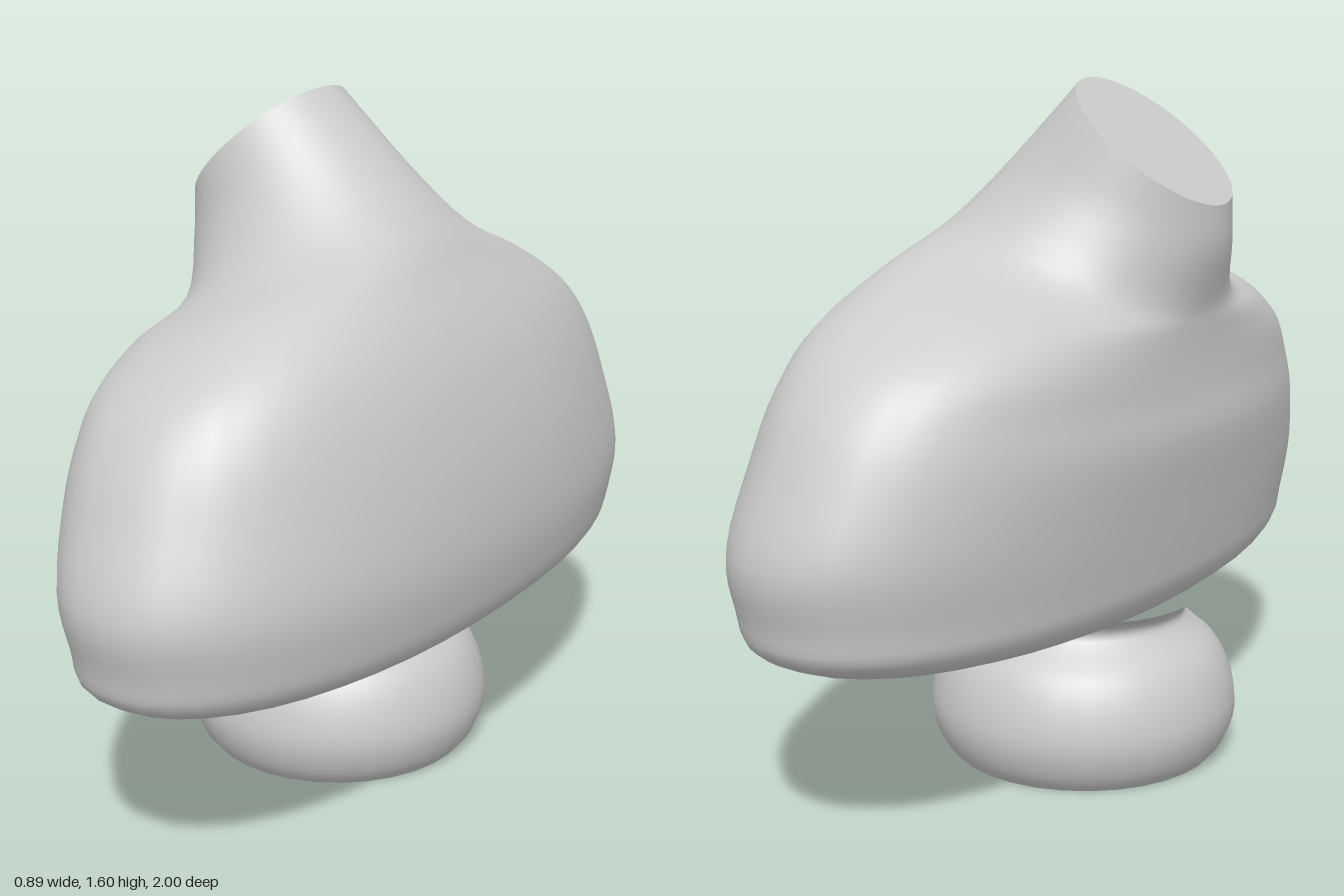
import * as THREE from 'three';

const SIDES = 48;
const STEPS = 48;

// Torso rings, neck to underside: back x, back y, front x, front y, half width in z, roundness
const RINGS = [
  [-0.42, 1.32, -0.09, 1.60, 0.21, 2.0],
  [-0.42, 1.22, 0.08, 1.43, 0.265, 2.0],
  [-0.39, 1.10, 0.20, 1.30, 0.38, 2.1],
  [-0.385, 1.05, 0.26, 1.21, 0.60, 2.3],
  [-0.385, 0.98, 0.33, 1.10, 0.77, 2.4],
  [-0.39, 0.90, 0.385, 0.98, 0.87, 2.3],
  [-0.40, 0.80, 0.43, 0.82, 0.94, 2.2],
  [-0.38, 0.65, 0.45, 0.65, 1.00, 2.2],
  [-0.36, 0.52, 0.44, 0.53, 0.98, 2.2],
  [-0.345, 0.45, 0.41, 0.44, 0.95, 2.2],
  [-0.31, 0.40, 0.33, 0.395, 0.80, 2.2],
  [-0.25, 0.375, 0.20, 0.375, 0.40, 2.0],
  [-0.06, 0.37, -0.05, 0.37, 0.01, 2.0],
];

// Smooth curve through three columns of the ring table
function columns(from) {
  const points = RINGS.map((r) => new THREE.Vector3(r[from], r[from + 1], r[from + 2]));
  return new THREE.CatmullRomCurve3(points, false, 'catmullrom', 0.5);
}

// One tilted, rounded outline of the torso
function ring(t, first, second) {
  const a = first.getPoint(t);
  const b = second.getPoint(t);
  const [xb, yb, xf, yf, hz, power] = [a.x, a.y, a.z, b.x, b.y, b.z];
  const bend = (v) => Math.sign(v) * Math.pow(Math.abs(v), 2 / power);
  const points = [];
  for (let j = 0; j < SIDES; j++) {
    const angle = (j / SIDES) * Math.PI * 2;
    const k = (bend(Math.cos(angle)) + 1) / 2;
    points.push(xb + (xf - xb) * k, yb + (yf - yb) * k, hz * bend(Math.sin(angle)));
  }
  return points;
}

function buildGeometry(positions, indices) {
  const geometry = new THREE.BufferGeometry();
  geometry.setAttribute('position', new THREE.Float32BufferAttribute(positions, 3));
  geometry.setIndex(indices);
  geometry.computeVertexNormals();
  return geometry;
}

export function createModel() {
  const group = new THREE.Group();
  group.name = 'bust';
  const material = new THREE.MeshStandardMaterial({ color: 0xcccccc });
  const add = (name, geometry) => {
    const mesh = new THREE.Mesh(geometry, material);
    mesh.name = name;
    group.add(mesh);
    return mesh;
  };

  // Torso: chest, shoulders and neck in one skin
  const first = columns(0);
  const second = columns(3);
  const positions = [];
  const indices = [];
  for (let i = 0; i <= STEPS; i++) {
    positions.push(...ring(i / STEPS, first, second));
    if (i === STEPS) break;
    for (let j = 0; j < SIDES; j++) {
      const a = i * SIDES + j;
      const b = i * SIDES + ((j + 1) % SIDES);
      indices.push(a, b, a + SIDES, b, b + SIDES, a + SIDES);
    }
  }
  add('torso', buildGeometry(positions, indices));

  // Flat slanted cut closing the neck
  const cap = [-0.255, 1.46, 0, ...ring(0, first, second)];
  const fan = [];
  for (let j = 0; j < SIDES; j++) fan.push(0, 1 + ((j + 1) % SIDES), 1 + j);
  add('neckCut', buildGeometry(cap, fan));

  // Round pedestal with a pinched top
  const profile = [
    [0.32, 0], [0.35, 0.04], [0.37, 0.11], [0.358, 0.19], [0.325, 0.26],
    [0.27, 0.31], [0.245, 0.34], [0.255, 0.365], [0.28, 0.385],
  ].map(([r, y]) => new THREE.Vector2(r, y));
  const smooth = new THREE.SplineCurve(profile).getPoints(24);
  const pedestal = add('pedestal', new THREE.LatheGeometry(smooth, 32));
  pedestal.position.x = -0.07;

  // Flat underside of the pedestal
  const foot = add('pedestalBottom', new THREE.CircleGeometry(0.32, 32));
  foot.rotation.x = Math.PI / 2;
  foot.position.x = -0.07;

  return group;
}
